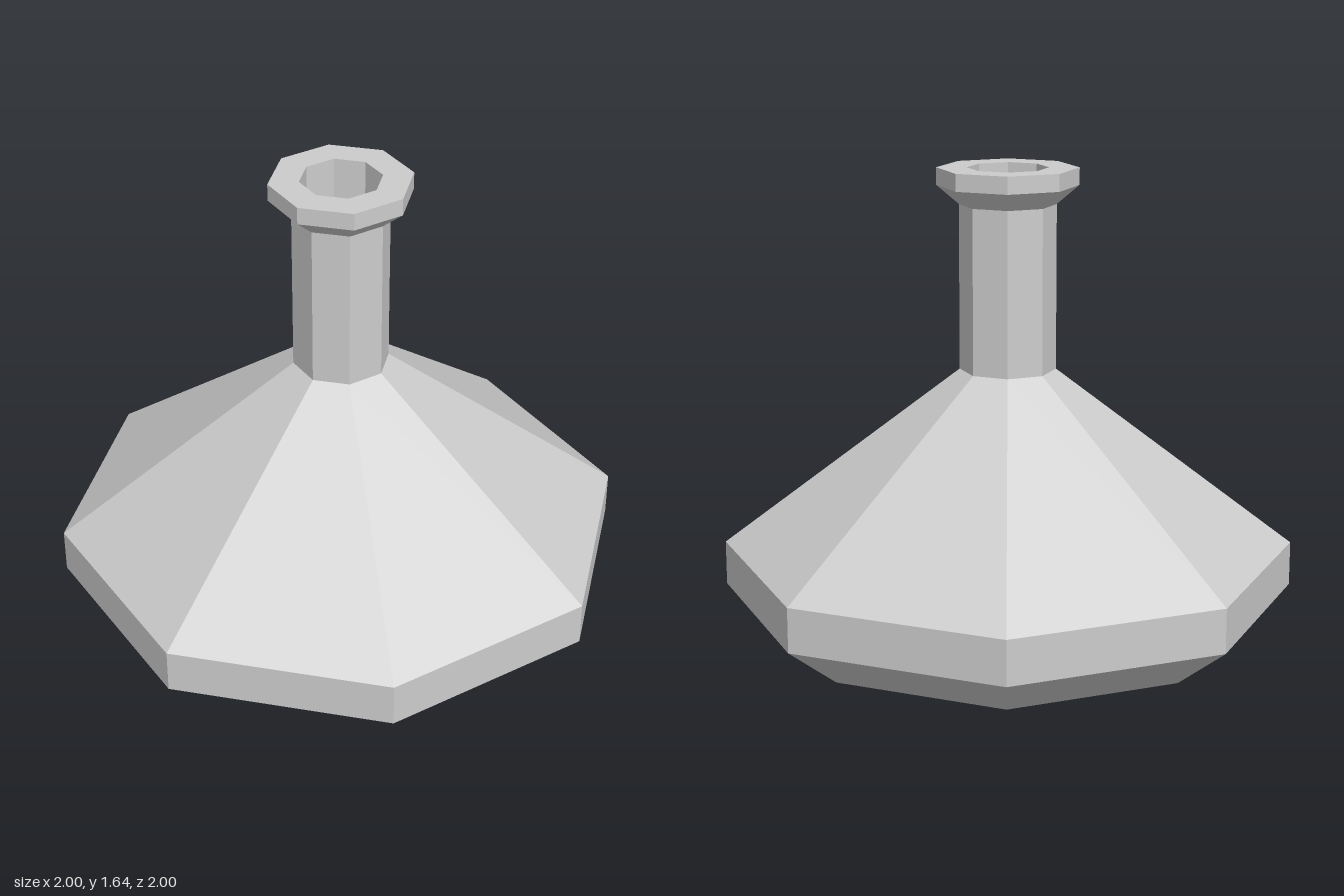
import * as THREE from 'three';

const SIDES = 8;

// Faceted ring of revolution from [radius, height] points, listed so that outward is the front
function facetedLathe(name, profile, material) {
  const points = profile.map(([r, y]) => new THREE.Vector2(r, y));
  const geometry = new THREE.LatheGeometry(points, SIDES).toNonIndexed();
  geometry.computeVertexNormals();
  const mesh = new THREE.Mesh(geometry, material);
  mesh.name = name;
  return mesh;
}

export function createModel() {
  const group = new THREE.Group();
  group.name = 'flask';
  const grey = new THREE.MeshStandardMaterial({ color: 0xcccccc });
  grey.name = 'light grey';

  const parts = {
    // Flat bottom, bevel and upright band
    base: [[0, 0], [0.8, 0], [1, 0.155], [1, 0.31]],
    // Sloping body
    shoulder: [[1, 0.31], [0.167, 0.94]],
    neck: [[0.167, 0.94], [0.167, 1.515]],
    // Flared lip with flat top
    lip: [[0.167, 1.515], [0.244, 1.58], [0.244, 1.64], [0.14, 1.64]],
    // Hollow inside of the neck, closed by a floor
    bore: [[0.14, 1.64], [0.14, 0.94], [0, 0.94]],
  };
  for (const [name, profile] of Object.entries(parts)) {
    group.add(facetedLathe(name, profile, grey));
  }
  return group;
}
